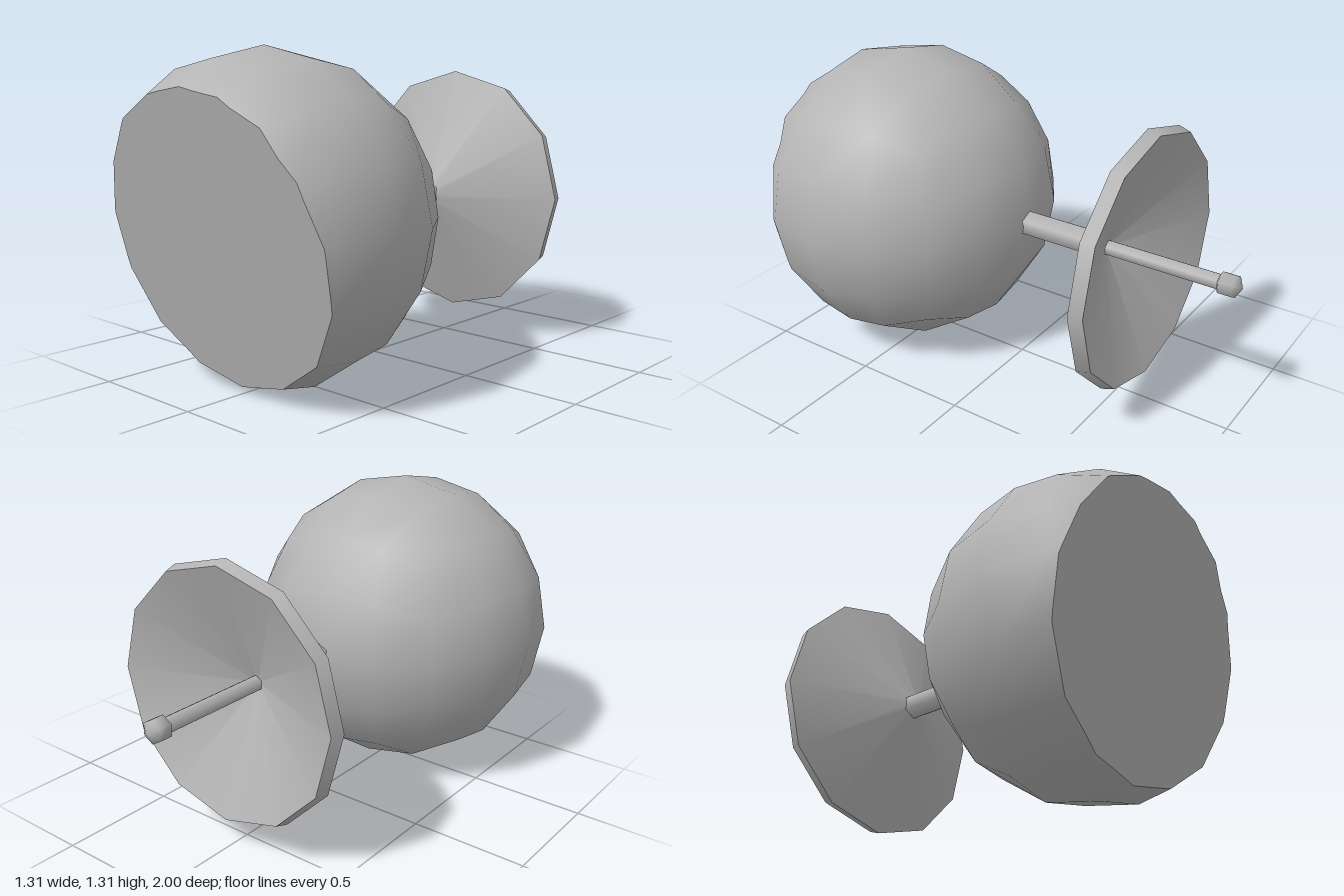
import * as THREE from 'three';

const RADIUS = 0.655;
const AXIS_Y = 0.658;
const BALL_Z = 0.605;

// Cube sphere cut by a tilted plane: returns the smooth shell and the flat cap.
function cutBall(radius, normal, distance) {
  const box = new THREE.BoxGeometry(2, 2, 2, 4, 4, 4).toNonIndexed();
  const source = box.attributes.position;
  const corner = (i) => {
    const p = new THREE.Vector3().fromBufferAttribute(source, i);
    p.set(...p.toArray().map((v) => Math.tan((v * Math.PI) / 4)));
    return p.setLength(radius);
  };
  const shell = [];
  const normals = [];
  const rim = [];
  for (let i = 0; i < source.count; i += 3) {
    const tri = [corner(i), corner(i + 1), corner(i + 2)];
    const kept = [];
    tri.forEach((a, k) => {
      const b = tri[(k + 1) % 3];
      const da = normal.dot(a) - distance;
      const db = normal.dot(b) - distance;
      if (da <= 0) kept.push(a);
      if (da <= 0 !== db <= 0) {
        const cut = a.clone().lerp(b, da / (da - db));
        kept.push(cut);
        rim.push(cut);
      }
    });
    for (let k = 1; k + 1 < kept.length; k++) {
      for (const p of [kept[0], kept[k], kept[k + 1]]) {
        shell.push(...p.toArray());
        normals.push(...p.clone().normalize().toArray());
      }
    }
  }
  const shellGeometry = new THREE.BufferGeometry();
  shellGeometry.setAttribute('position', new THREE.Float32BufferAttribute(shell, 3));
  shellGeometry.setAttribute('normal', new THREE.Float32BufferAttribute(normals, 3));

  // Fan the cut outline around its middle
  const middle = normal.clone().multiplyScalar(distance);
  const angle = (p) => Math.atan2(p.y - middle.y, p.x);
  rim.sort((a, b) => angle(a) - angle(b));
  const cap = [];
  rim.forEach((p, k) => {
    const q = rim[(k + 1) % rim.length];
    if (p.distanceTo(q) > 1e-5) cap.push(...middle.toArray(), ...p.toArray(), ...q.toArray());
  });
  const capGeometry = new THREE.BufferGeometry();
  capGeometry.setAttribute('position', new THREE.Float32BufferAttribute(cap, 3));
  capGeometry.computeVertexNormals();
  return [shellGeometry, capGeometry];
}

export function createModel() {
  const model = new THREE.Group();
  const grey = new THREE.MeshStandardMaterial({ color: 0xb4b4b4 });
  grey.name = 'plain grey';

  const add = (name, geometry, z = 0) => {
    const mesh = new THREE.Mesh(geometry, grey);
    mesh.name = name;
    mesh.position.set(0, AXIS_Y, z);
    model.add(mesh);
  };
  // Turned parts run backwards along -z
  const turned = (geometry) => geometry.rotateX(-Math.PI / 2);
  const rod = (name, radius, front, back) =>
    add(name, turned(new THREE.CylinderGeometry(radius, radius, front - back, 6)), (front + back) / 2);
  const band = (name, r0, z0, r1, z1) =>
    add(name, turned(new THREE.LatheGeometry([new THREE.Vector2(r0, -z0), new THREE.Vector2(r1, -z1)], 12)));

  // Large ball with a slanted flat face
  const [shell, cap] = cutBall(RADIUS, new THREE.Vector3(0, -0.2198, 0.9755), 0.2734);
  add('ball', shell, BALL_Z);
  add('ballFace', cap, BALL_Z);

  // Neck between ball and dish
  rod('neck', 0.057, 0, -0.39);

  // Hollow conical dish
  band('dishFront', 0.045, -0.365, 0.545, -0.565);
  band('dishRim', 0.545, -0.565, 0.528, -0.62);
  band('dishInside', 0.528, -0.62, 0, -0.41);

  // Thin feed rod with a small tip
  rod('feedRod', 0.034, -0.39, -0.925);
  add('feedTip', turned(new THREE.SphereGeometry(0.056, 6, 3, Math.PI / 2)), -0.944);

  return model;
}
